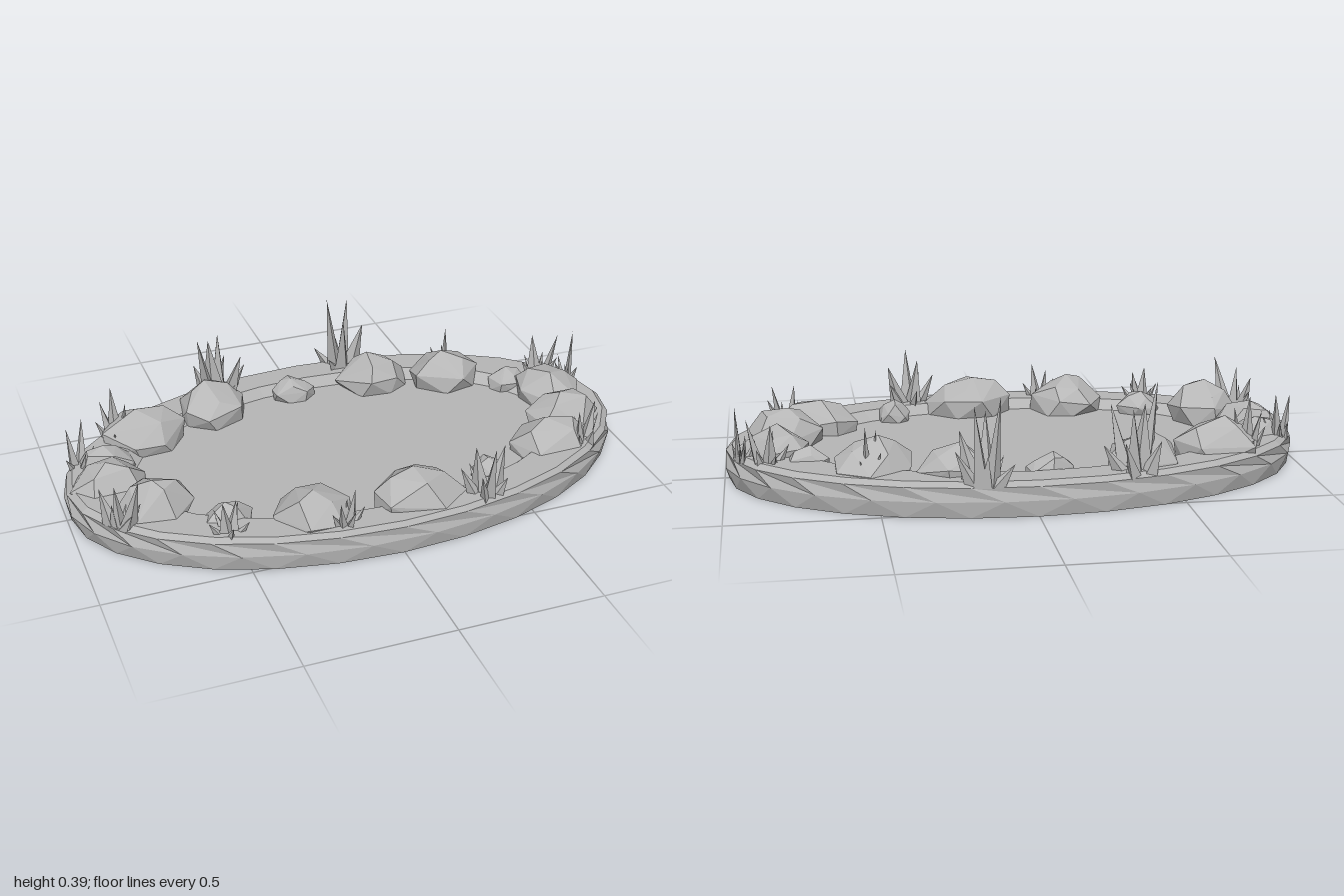
import * as THREE from 'three';
import { ConvexGeometry } from 'three/addons/geometries/ConvexGeometry.js';

const DEPTH = 0.572; // ellipse depth relative to its width

function seeded(seed) {
  let s = seed * 7919 + 17;
  return () => {
    s = (s * 16807) % 2147483647;
    return s / 2147483647;
  };
}

// Elliptical slab with a chamfered rim and a sunken floor
function makeBase(material) {
  const segments = 28;
  const profile = [
    [0, 0], [0.985, 0], [1, 0.055], [0.993, 0.102], [0.972, 0.12],
    [0.8, 0.12], [0.755, 0.085], [0, 0.085],
  ].map(([r, y]) => new THREE.Vector2(r, y));
  const geometry = new THREE.LatheGeometry(profile, segments);
  // Twist the middle ring half a step so the side breaks into triangles
  const pos = geometry.attributes.position;
  const half = Math.PI / segments;
  for (let i = 0; i <= segments; i++) {
    const k = i * profile.length + 2;
    const x = pos.getX(k), z = pos.getZ(k);
    pos.setX(k, x * Math.cos(half) + z * Math.sin(half));
    pos.setZ(k, z * Math.cos(half) - x * Math.sin(half));
  }
  geometry.scale(1, 1, DEPTH);
  geometry.computeVertexNormals();
  const mesh = new THREE.Mesh(geometry, material);
  mesh.name = 'base';
  return mesh;
}

// Faceted boulder: hull of three irregular rings
function makeRock([x, z, rx, rz, top], index, material) {
  const rand = seeded(index + 3);
  const points = [];
  const ring = (count, radius, y, wobble) => {
    const start = rand() * Math.PI * 2;
    for (let i = 0; i < count; i++) {
      const a = start + ((i + (rand() - 0.5) * 0.5) / count) * Math.PI * 2;
      const r = radius * (0.9 + rand() * 0.15);
      points.push(new THREE.Vector3(
        Math.cos(a) * r * rx, y + (rand() - 0.5) * wobble, Math.sin(a) * r * rz));
    }
  };
  const h = top - 0.08;
  ring(7, 0.92, 0, 0);
  ring(6, 1, h * 0.38, h * 0.25);
  ring(4, 0.6, h * 0.78, h * 0.2);
  points.push(new THREE.Vector3((rand() - 0.5) * 0.5 * rx, h, (rand() - 0.5) * 0.5 * rz));
  const mesh = new THREE.Mesh(new ConvexGeometry(points), material);
  mesh.position.set(x, 0.08, z);
  mesh.name = 'rock';
  return mesh;
}

// Pulls a point back inside the slab outline
function keepInside(p) {
  const d = Math.hypot(p.x / 0.99, p.z / 0.567);
  if (d > 1) {
    p.x /= d;
    p.z /= d;
  }
  return p;
}

// Four-sided pointed shard from a foot to a tip
function makeShard(foot, tip, width, turn, material) {
  const points = [keepInside(tip)];
  for (let i = 0; i < 4; i++) {
    const a = turn + (i * Math.PI) / 2;
    const r = i % 2 ? width * 0.65 : width;
    points.push(keepInside(new THREE.Vector3(
      foot.x + Math.cos(a) * r, foot.y, foot.z + Math.sin(a) * r)));
  }
  const mesh = new THREE.Mesh(new ConvexGeometry(points), material);
  mesh.name = 'shard';
  return mesh;
}

// Tall shards at given tips, ringed by short splayed ones
function makeCluster([x, z, size, tips], index, material) {
  const group = new THREE.Group();
  group.name = 'crystalCluster';
  const rand = seeded(index + 40);
  for (const [tx, ty, tz] of tips) {
    const foot = new THREE.Vector3(x + (tx - x) * 0.4, 0.1, z + (tz - z) * 0.4);
    group.add(makeShard(foot, new THREE.Vector3(tx, ty, tz), size * 0.42, rand() * 3, material));
  }
  const start = rand() * 6;
  for (let i = 0; i < 5; i++) {
    const a = start + (i / 5) * Math.PI * 2;
    const foot = new THREE.Vector3(x + Math.cos(a) * size * 0.35, 0.1, z + Math.sin(a) * size * 0.35);
    const tip = new THREE.Vector3(
      x + Math.cos(a) * size, 0.13 + size * (0.35 + rand() * 0.7), z + Math.sin(a) * size);
    group.add(makeShard(foot, tip, size * 0.32, a, material));
  }
  return group;
}

export function createModel() {
  const model = new THREE.Group();
  model.name = 'rockRimmedBasin';
  const stone = new THREE.MeshStandardMaterial({ color: 0xb6b6b6, flatShading: true });
  stone.name = 'grey stone';

  model.add(makeBase(stone));

  // Rocks: x, z, half width, half depth, top height
  const rocks = [
    [-0.66, -0.27, 0.16, 0.115, 0.225], [-0.38, -0.37, 0.13, 0.13, 0.22],
    [-0.06, -0.4, 0.085, 0.065, 0.165], [0.25, -0.39, 0.14, 0.11, 0.215],
    [0.51, -0.33, 0.14, 0.125, 0.22], [0.72, -0.2, 0.075, 0.06, 0.165],
    [0.83, -0.08, 0.12, 0.14, 0.2], [0.79, 0.11, 0.14, 0.11, 0.21],
    [0.67, 0.26, 0.15, 0.115, 0.2], [0.39, 0.35, 0.06, 0.06, 0.16],
    [0.1, 0.42, 0.165, 0.125, 0.22], [-0.26, 0.4, 0.14, 0.125, 0.215],
    [-0.53, 0.32, 0.09, 0.06, 0.165], [-0.74, 0.18, 0.135, 0.12, 0.23],
    [-0.85, 0, 0.14, 0.1, 0.2], [-0.83, -0.13, 0.12, 0.06, 0.18],
  ];
  rocks.forEach((rock, i) => model.add(makeRock(rock, i, stone)));

  // Crystal clusters: x, z, size, tall tips
  const clusters = [
    [-0.33, -0.48, 0.11, [[-0.42, 0.385, -0.39], [-0.36, 0.335, -0.47], [-0.27, 0.31, -0.36], [-0.31, 0.33, -0.52]]],
    [0.17, -0.53, 0.1, [[0.12, 0.39, -0.53], [0.21, 0.37, -0.56], [0.25, 0.28, -0.5], [0.16, 0.33, -0.46]]],
    [0.53, -0.36, 0.06, [[0.54, 0.27, -0.38], [0.5, 0.24, -0.32]]],
    [0.85, -0.21, 0.07, [[0.92, 0.26, -0.2], [0.84, 0.25, -0.25]]],
    [0.94, -0.15, 0.05, [[0.96, 0.295, -0.15]]],
    [0.78, 0.29, 0.07, [[0.75, 0.24, 0.31], [0.83, 0.25, 0.27]]],
    [0.32, 0.48, 0.09, [[0.33, 0.305, 0.54], [0.4, 0.26, 0.45], [0.29, 0.28, 0.46]]],
    [-0.18, 0.49, 0.065, [[-0.15, 0.24, 0.5], [-0.21, 0.21, 0.53]]],
    [-0.55, 0.41, 0.07, [[-0.57, 0.23, 0.42], [-0.52, 0.22, 0.4]]],
    [-0.87, 0.24, 0.075, [[-0.81, 0.29, 0.3], [-0.88, 0.26, 0.25], [-0.92, 0.23, 0.2]]],
    [-0.75, -0.29, 0.075, [[-0.76, 0.3, -0.31], [-0.72, 0.25, -0.27], [-0.8, 0.25, -0.32]]],
    [-0.92, -0.15, 0.06, [[-0.96, 0.26, -0.16], [-0.89, 0.27, -0.19]]],
  ];
  clusters.forEach((cluster, i) => model.add(makeCluster(cluster, i, stone)));

  return model;
}
